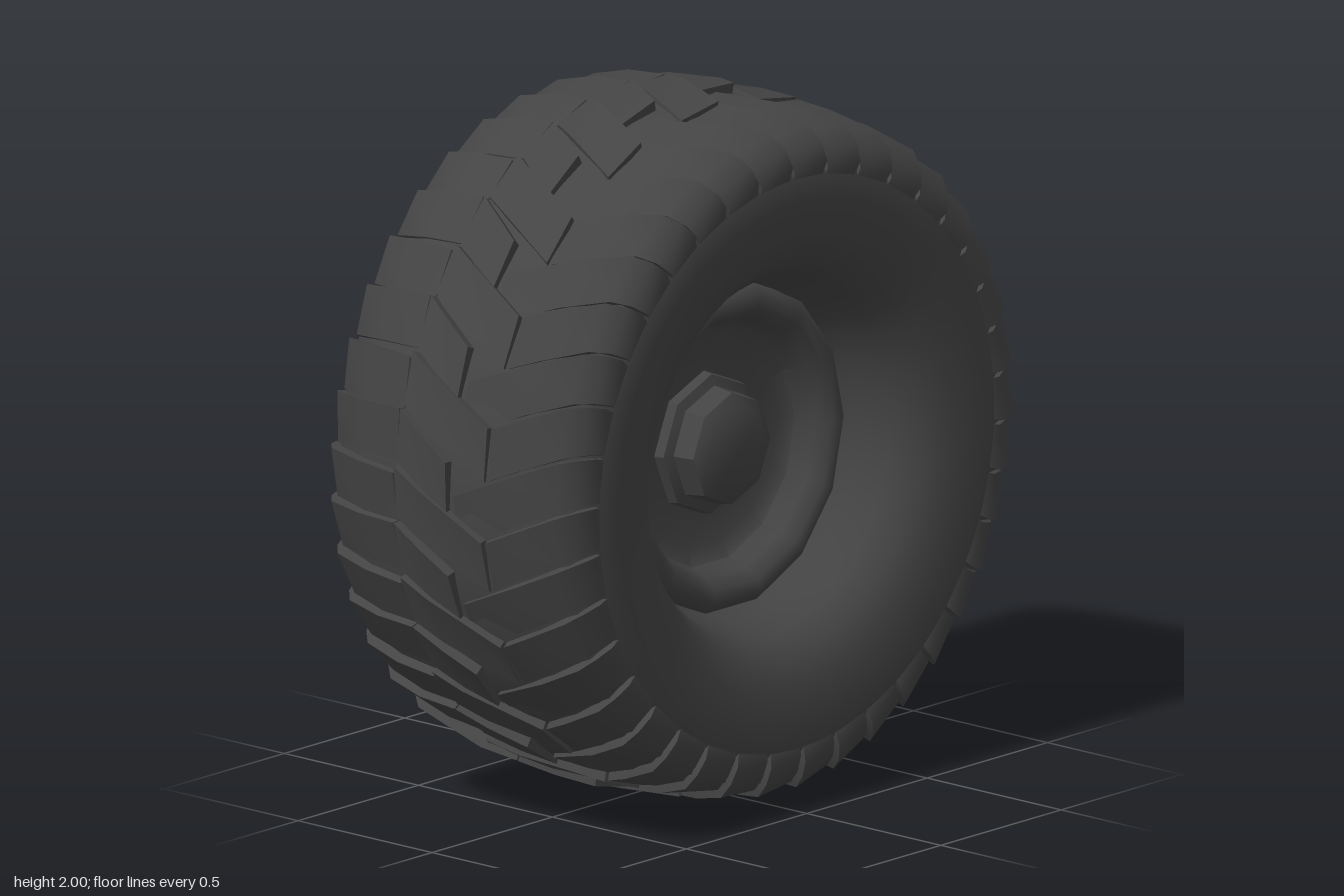
import * as THREE from 'three';
import { mergeGeometries, toCreasedNormals } from 'three/addons/utils/BufferGeometryUtils.js';

// Everything is turned about the x axis; profiles are lists of [x, radius].
function turned(profile, sides, crease) {
  const g = new THREE.LatheGeometry(profile.map(([x, r]) => new THREE.Vector2(r, x)), sides);
  g.rotateZ(-Math.PI / 2);
  return toCreasedNormals(g, crease);
}

// One tread block: a four-sided section swept along a profile, skewed round the tyre.
function lug(path, angle, width, skew, drop) {
  const pos = [], index = [];
  const n = path.length;
  const x0 = path[0][0], span = path[n - 1][0] - x0;
  path.forEach(([x, r]) => {
    const a0 = angle + skew * (x - x0) / span, a1 = a0 + width;
    const bx = x * 0.93, br = r - 0.06;
    [[x, r, a0], [x * 0.99, r - drop, a1], [bx, br, a1 + 0.01], [bx, br, a0 - 0.005]]
      .forEach(([px, pr, a]) => pos.push(px, pr * Math.cos(a), pr * Math.sin(a)));
  });
  const quad = (a, b, c, d) => index.push(a, b, c, a, c, d);
  for (let i = 0; i < n - 1; i++) {
    for (let k = 0; k < 4; k++) {
      const m = (k + 1) % 4;
      quad(i * 4 + k, i * 4 + m, i * 4 + 4 + m, i * 4 + 4 + k);
    }
  }
  quad(3, 2, 1, 0);
  const e = (n - 1) * 4;
  quad(e, e + 1, e + 2, e + 3);
  const g = new THREE.BufferGeometry();
  g.setAttribute('position', new THREE.Float32BufferAttribute(pos, 3));
  g.setIndex(index);
  return toCreasedNormals(g, 0.8);
}

// A full ring of blocks, each given its index, angle and the pitch.
function lugRing(count, make) {
  const list = [];
  for (let i = 0; i < count; i++) list.push(make(i, i / count * Math.PI * 2, Math.PI * 2 / count));
  return mergeGeometries(list);
}

export function createModel() {
  const rubber = new THREE.MeshStandardMaterial({ color: 0x444444 });
  rubber.name = 'dark rubber';
  const wheel = new THREE.Group();
  wheel.name = 'wheel';
  const add = (name, geometry) => {
    const mesh = new THREE.Mesh(geometry, rubber);
    mesh.name = name;
    wheel.add(mesh);
  };

  // Tyre body, bead to bead, with a rounded lip round the deep centre
  const half = [[0.2, 0.46], [0.25, 0.485], [0.35, 0.515], [0.42, 0.57], [0.452, 0.65],
    [0.466, 0.75], [0.463, 0.82], [0.425, 0.91], [0.3, 0.95], [0.12, 0.97]];
  const mirrored = half.map(([x, r]) => [-x, r]);
  add('tyreBody', turned([...mirrored, ...half.slice().reverse()], 56, 0.9));

  // Straight shoulder blocks on the right side
  const rightPath = [[-0.46, 0.81], [-0.477, 0.86], [-0.463, 0.905], [-0.43, 0.943], [-0.3, 0.977], [-0.16, 0.99]];
  add('rightShoulderBlocks', lugRing(38, (i, a, p) =>
    lug(rightPath, a, p * 0.92, 0.02 * (i % 2), 0.022)));

  // Swept shoulder blocks on the left side, alternately long and short
  add('leftShoulderBlocks', lugRing(38, (i, a, p) => {
    const long = i % 2 === 1;
    const path = [long ? [0.06, 0.981] : [0.18, 0.986], [0.27, 0.978], [0.41, 0.953],
      [0.452, 0.91], [0.472, 0.86], [0.46, 0.81]];
    return lug(path, long ? a + 0.05 : a, p * 0.91, long ? -0.18 : -0.13, 0.02);
  }));

  // Slanted blocks down the middle, their ends meeting the left shoulder blocks
  add('middleBlocks', lugRing(38, (i, a, p) => {
    const long = i % 2 === 1;
    const path = [[-0.155, 0.991], [-0.06, 0.998], long ? [0.17, 0.991] : [0.04, 1]];
    return lug(path, a, p * 0.93, long ? 0.165 : 0.12, 0.014);
  }));

  // Rim: raised flange, dished wall and wheel disc on each side
  const rimHalf = [[0.15, 0.48], [0.22, 0.465], [0.243, 0.435], [0.238, 0.4], [0.2, 0.37],
    [0.14, 0.35], [0.12, 0.3], [0.115, 0.18], [0.115, 0]];
  const rimBack = rimHalf.map(([x, r]) => [-x, r]).reverse();
  add('rim', turned([...rimBack, ...rimHalf], 14, 0.9));

  // Hubs: low collar with a blunt faceted cap
  add('leftHub', turned([[0.1, 0.21], [0.145, 0.2], [0.155, 0.17], [0.22, 0.16], [0.245, 0.12], [0.25, 0]], 8, 0.6));
  add('rightHub', turned([[-0.18, 0], [-0.175, 0.12], [-0.16, 0.155], [-0.14, 0.17], [-0.135, 0.2], [-0.1, 0.21]], 8, 0.6));

  wheel.children.forEach((mesh) => { mesh.position.y = 1; });
  return wheel;
}
